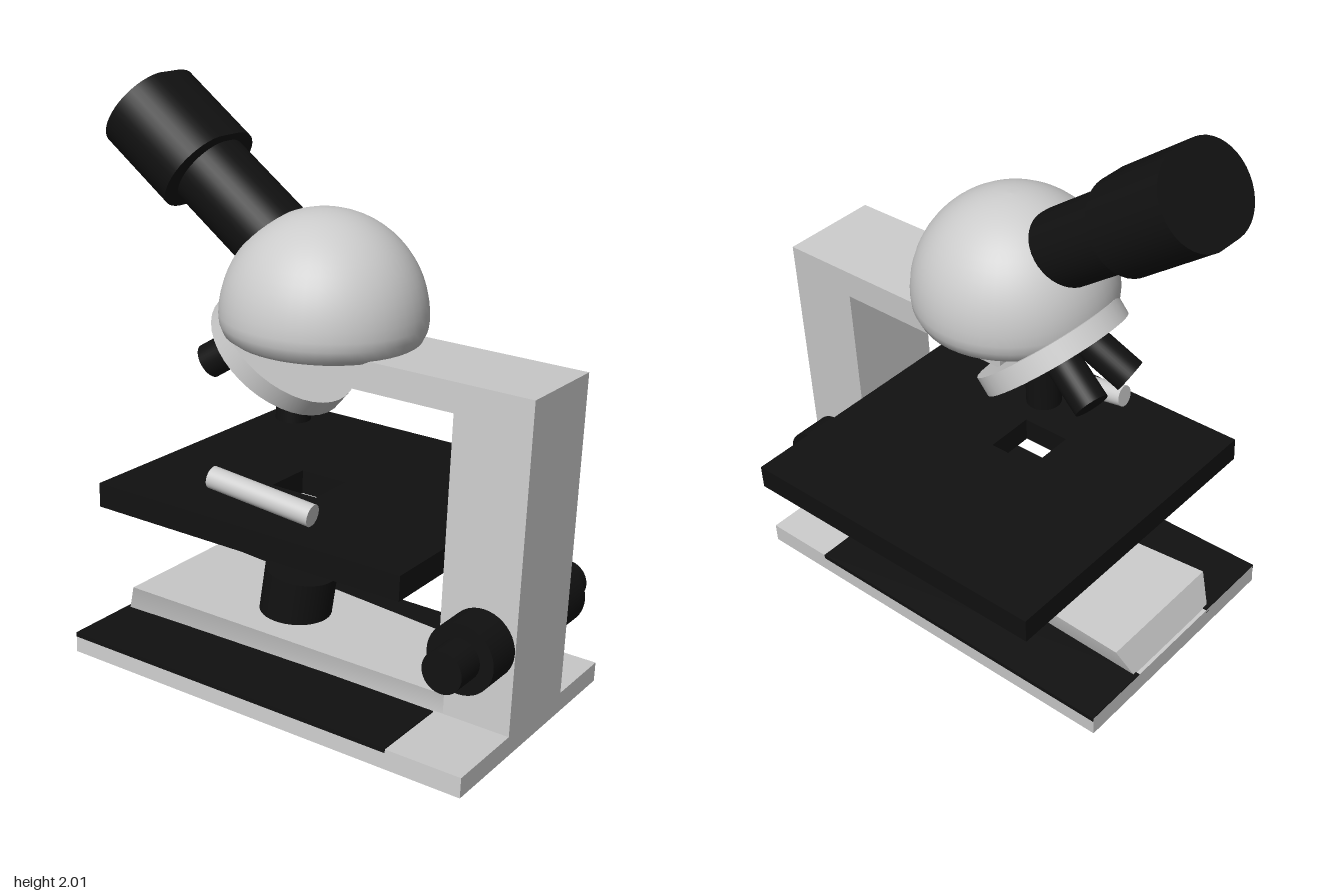
import * as THREE from 'three';

const grey = new THREE.MeshStandardMaterial({ color: 0xcccccc });
const black = new THREE.MeshStandardMaterial({ color: 0x111111 });
const MID = 0.12; // depth of the instrument's centre plane

export function createModel() {
  const model = new THREE.Group();
  const body = new THREE.Group();
  body.name = 'microscope';
  body.rotation.x = -0.068; // the whole instrument leans back slightly
  model.add(body);

  const add = (name, geometry, material) => {
    const mesh = new THREE.Mesh(geometry, material);
    mesh.name = name;
    body.add(mesh);
    return mesh;
  };

  // box given by its minimum and maximum corners
  const box = (name, a, b, material) => {
    const mesh = add(name, new THREE.BoxGeometry(b[0] - a[0], b[1] - a[1], b[2] - a[2]), material);
    mesh.position.set((a[0] + b[0]) / 2, (a[1] + b[1]) / 2, (a[2] + b[2]) / 2);
    return mesh;
  };

  // cylinder from point a to point b; widen pulls its two halves apart in z
  const rod = (name, a, b, r, material, widen = 0) => {
    const start = new THREE.Vector3(...a), end = new THREE.Vector3(...b);
    const axis = end.clone().sub(start);
    const geometry = new THREE.CylinderGeometry(r, r, axis.length(), 40);
    const p = geometry.attributes.position;
    for (let i = 0; i < p.count; i++) p.setZ(i, p.getZ(i) + Math.sign(p.getZ(i)) * widen);
    const mesh = add(name, geometry, material);
    mesh.position.copy(start).add(end).multiplyScalar(0.5);
    mesh.quaternion.setFromUnitVectors(new THREE.Vector3(0, 1, 0), axis.normalize());
    return mesh;
  };

  // base plate with a dark panel on each side of the ridge
  box('base', [-0.70, 0.0225, -0.33], [0.84, 0.092, 0.60], grey);
  box('backPanel', [-0.70, 0.08, -0.332], [0.57, 0.096, -0.08], black);
  box('frontPanel', [-0.70, 0.08, 0.31], [0.57, 0.096, 0.602], black);

  // ridge: rises and widens away from the column, with a sloping end
  const ridge = new THREE.BoxGeometry(1, 1, 1);
  const rp = ridge.attributes.position;
  for (let i = 0; i < rp.count; i++) {
    const far = rp.getX(i) < 0, top = rp.getY(i) > 0, side = Math.sign(rp.getZ(i));
    const half = far ? (top ? 0.25 : 0.21) : 0.18;
    rp.setXYZ(i, far ? (top ? -0.64 : -0.69) : 0.6, top ? (far ? 0.2 : 0.16) : 0.085, MID + side * half);
  }
  ridge.computeVertexNormals();
  add('ridge', ridge, grey);

  // column and arm in one bent piece
  const bend = new THREE.Shape([
    [0.57, 0.08], [0.84, 0.08], [0.84, 1.205], [-0.12, 1.205], [-0.12, 1.105], [0.57, 1.105],
  ].map(([x, y]) => new THREE.Vector2(x, y)));
  const arm = new THREE.ExtrudeGeometry(bend, { depth: 0.36, bevelEnabled: false });
  arm.translate(0, 0, MID - 0.18);
  add('columnAndArm', arm, grey);

  // lamp on the ridge
  rod('lamp', [-0.115, 0.14, MID], [-0.09, 0.342, MID], 0.127, black);

  // stage with a square light opening
  const rect = (Type, x0, x1, z0, z1) => new Type([[x0, -z1], [x1, -z1], [x1, -z0], [x0, -z0]]
    .map(([x, y]) => new THREE.Vector2(x, y)));
  const plate = rect(THREE.Shape, -0.62, 0.57, -0.55, 0.565);
  plate.holes.push(rect(THREE.Path, -0.16, 0.02, MID - 0.09, MID + 0.09));
  const stage = new THREE.ExtrudeGeometry(plate, { depth: 0.085, bevelEnabled: false });
  stage.rotateX(-Math.PI / 2).translate(0, 0.577, 0);
  add('stage', stage, black);
  rod('stageClip', [-0.235, 0.743, 0.445], [0.15, 0.698, 0.42], 0.038, grey);

  // stepped focus knobs on both sides of the column
  for (const s of [-1, 1]) {
    rod('focusKnob', [0.72, 0.38, MID + s * 0.15], [0.72, 0.38, MID + s * 0.315], 0.118, black);
    rod('fineFocusKnob', [0.72, 0.38, MID + s * 0.3], [0.72, 0.38, MID + s * 0.425], 0.07, black);
  }

  // domed head with a shallow rounded underside
  const profile = [[0, -0.14], [0.12, -0.13], [0.22, -0.108], [0.3, -0.083], [0.327, -0.065], [0.342, -0.03]]
    .map(([x, y]) => new THREE.Vector2(x, y));
  for (let i = 0; i <= 16; i++) {
    const t = (i / 16) * Math.PI / 2;
    profile.push(new THREE.Vector2(0.345 * Math.cos(t), 0.352 * Math.sin(t)));
  }
  const head = add('head', new THREE.LatheGeometry(profile, 48), grey);
  head.position.set(-0.02, 1.274, 0.142);

  // eyepiece tube and its wider, flattened-oval end
  rod('eyepieceTube', [-0.53, 1.71, 0.145], [-0.1, 1.41, 0.145], 0.131, black, 0.009);
  rod('eyepiece', [-0.75, 1.868, 0.152], [-0.495, 1.688, 0.152], 0.158, black, 0.037);

  // tilted nosepiece disc carrying three objectives
  rod('nosepiece', [-0.212, 1.1, MID], [-0.168, 1.154, MID], 0.265, grey);
  rod('objective', [-0.145, 1.1, MID], [-0.145, 0.883, MID], 0.06, black);
  for (const s of [-1, 1]) {
    rod('objective', [-0.24, 1.18, MID + s * 0.06], [-0.43, 1.05, MID + s * 0.1], 0.06, black);
  }
  return model;
}
